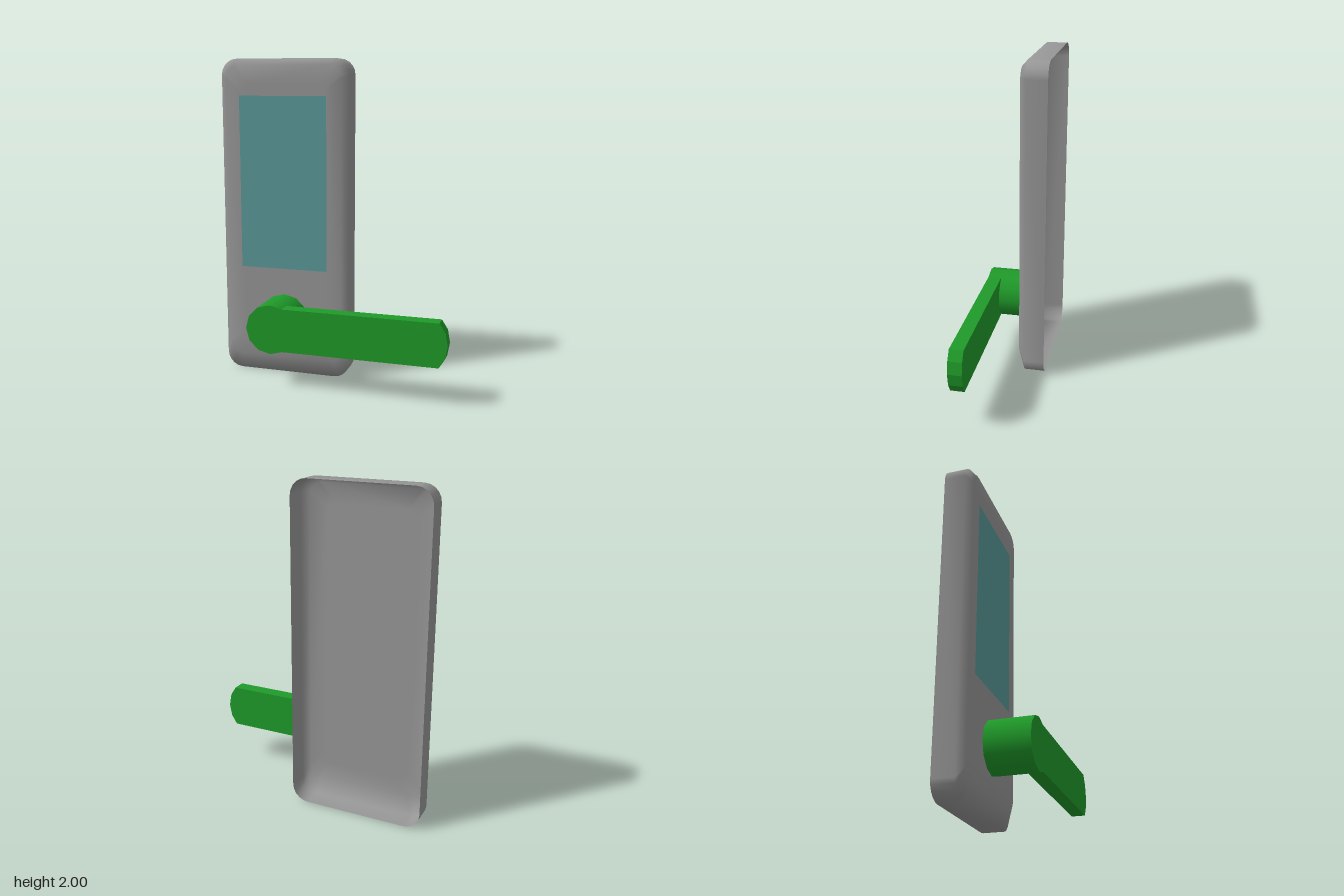
import * as THREE from 'three';

const mat = (color, opts = {}) => new THREE.MeshStandardMaterial({ color, ...opts });

// Counter-clockwise rounded rectangle as a loop of points at depth z
function roundedLoop(x0, x1, y0, y1, r, z, seg = 5) {
  const centres = [[x1 - r, y1 - r], [x0 + r, y1 - r], [x0 + r, y0 + r], [x1 - r, y0 + r]];
  const pts = [];
  centres.forEach(([cx, cy], q) => {
    for (let i = 0; i <= seg; i++) {
      const a = (q + i / seg) * Math.PI / 2;
      pts.push([cx + r * Math.cos(a), cy + r * Math.sin(a), z]);
    }
  });
  return pts;
}

// Skin successive loops, then close the last one with a fan
function loftCapped(loops) {
  const n = loops[0].length;
  const pos = loops.flat(2);
  const index = [];
  for (let k = 0; k < loops.length - 1; k++) {
    for (let i = 0; i < n; i++) {
      const a = k * n + i, b = k * n + (i + 1) % n;
      index.push(a, b, b + n, a, b + n, a + n);
    }
  }
  const last = loops[loops.length - 1];
  const centre = [0, 1, 2].map(c => last.reduce((s, p) => s + p[c], 0) / n);
  pos.push(...centre);
  const base = (loops.length - 1) * n;
  for (let i = 0; i < n; i++) index.push(base + i, base + (i + 1) % n, loops.length * n);
  const geo = new THREE.BufferGeometry();
  geo.setAttribute('position', new THREE.Float32BufferAttribute(pos, 3));
  geo.setIndex(index);
  geo.computeVertexNormals();
  return geo;
}

export function createModel() {
  const group = new THREE.Group();
  const add = (name, geo, material) => {
    const mesh = new THREE.Mesh(geo, material);
    mesh.name = name;
    group.add(mesh);
    return mesh;
  };

  // Backplate: thin shell, open at the back, with softly bevelled front edges
  add('backplate', loftCapped([
    roundedLoop(-0.75, 0.08, 0, 2, 0.1, -0.218),
    roundedLoop(-0.75, 0.08, 0, 2, 0.1, -0.09),
    roundedLoop(-0.71, 0.04, 0.11, 1.96, 0.08, -0.052),
    roundedLoop(-0.6, -0.07, 0.22, 1.85, 0.06, -0.052),
  ]), mat(0x969696, { side: THREE.DoubleSide }));

  // Touch panel lying on the plate
  add('touchPanel', new THREE.PlaneGeometry(0.565, 1.08), mat(0x5a9898))
    .position.set(-0.3375, 1.235, -0.049);

  // Spindle hub standing on the plate, flush with the lever's front
  const green = mat(0x1f9a29);
  const hubX = -0.335, hubY = 0.375, hubR = 0.155;
  const hubBack = -0.049, hubFront = 0.215;
  const hub = add('spindleHub', new THREE.CylinderGeometry(hubR, hubR, hubFront - hubBack, 12), green);
  hub.rotation.x = Math.PI / 2;
  hub.position.set(hubX, hubY, (hubBack + hubFront) / 2);

  // Lever: straight arm fitted round the hub's side, with a blunt tip
  const outline = [];
  for (let i = 2; i >= -2; i--) {
    const a = i * Math.PI / 6;
    outline.push(new THREE.Vector2(hubX + hubR * Math.cos(a), hubY + hubR * Math.sin(a)));
  }
  [[0.70, -0.134], [0.736, -0.077], [0.75, 0], [0.736, 0.077], [0.70, 0.134]]
    .forEach(([x, dy]) => outline.push(new THREE.Vector2(x, hubY + dy)));
  const lever = add('leverHandle', new THREE.ExtrudeGeometry(new THREE.Shape(outline),
    { depth: 0.085, bevelEnabled: false }), green);
  lever.position.z = 0.13;

  return group;
}
